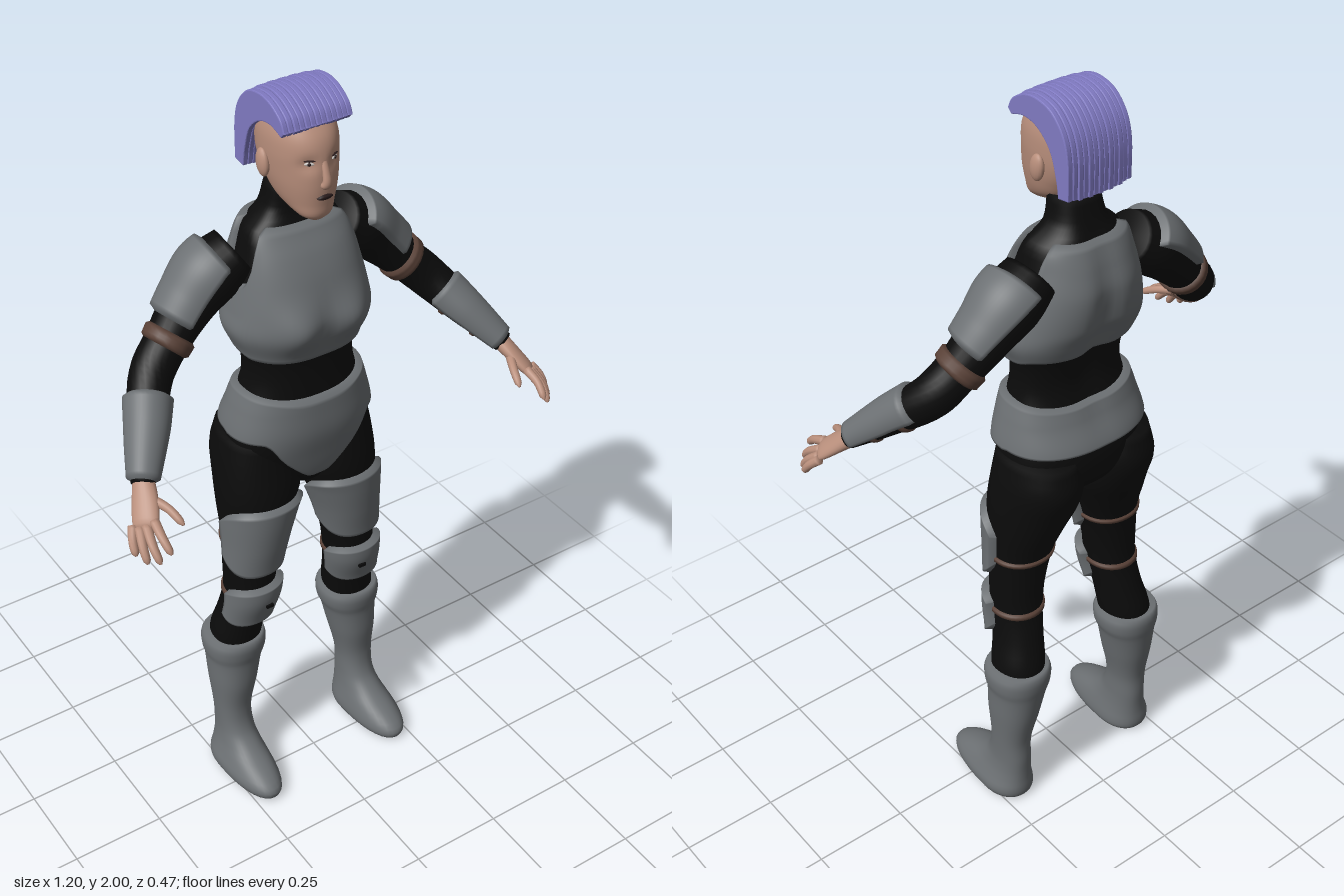
import * as THREE from 'three';

const mat = (name, color, open) => {
  const m = new THREE.MeshStandardMaterial({ color });
  m.name = name;
  if (open) m.side = THREE.DoubleSide;
  return m;
};
const smooth = THREE.MathUtils.smoothstep;
const V = (x, y, z) => new THREE.Vector3(x, y, z);

// Smooth lookup in a table of rows [key, a, b, ...]
function lookup(rows, k) {
  let i = 0;
  while (i < rows.length - 2 && k > rows[i + 1][0]) i++;
  const r0 = rows[i], r1 = rows[i + 1], h = r1[0] - r0[0];
  const t = THREE.MathUtils.clamp((k - r0[0]) / h, 0, 1);
  const slope = (n, c) => {
    const p = rows[Math.max(n - 1, 0)], q = rows[Math.min(n + 1, rows.length - 1)];
    return (q[c] - p[c]) / (q[0] - p[0]);
  };
  return r0.map((_, c) => c === 0 ? k :
    r0[c] * (2 * t ** 3 - 3 * t * t + 1) + r1[c] * (3 * t * t - 2 * t ** 3) +
    h * slope(i, c) * (t ** 3 - 2 * t * t + t) + h * slope(i + 1, c) * (t ** 3 - t * t));
}

// Surface from rings of points, optionally closed round and capped
function grid(nu, nv, fn, closed) {
  const pos = [], idx = [], w = closed ? nu : nu + 1;
  for (let j = 0; j <= nv; j++) for (let i = 0; i < w; i++) pos.push(...fn(i / nu, j / nv));
  for (let j = 0; j < nv; j++) for (let i = 0; i < nu; i++) {
    const a = j * w + i, b = j * w + (i + 1) % w;
    idx.push(a, b, b + w, a, b + w, a + w);
  }
  if (closed) for (const j of [0, nv]) {
    const c = pos.length / 3, mid = [0, 0, 0];
    for (let i = 0; i < w; i++) for (let k = 0; k < 3; k++) mid[k] += pos[(j * w + i) * 3 + k] / w;
    pos.push(...mid);
    for (let i = 0; i < nu; i++) {
      const a = j * w + i, b = j * w + (i + 1) % w;
      if (j) idx.push(a, b, c); else idx.push(b, a, c);
    }
  }
  const g = new THREE.BufferGeometry();
  g.setAttribute('position', new THREE.Float32BufferAttribute(pos, 3));
  g.setIndex(idx);
  g.computeVertexNormals();
  return g;
}

// Upright body skin; rows are [y, cx, cz, half width, front depth, back depth].
// Angle 0 faces front, a quarter turn faces +x; plates sink at their rims.
function shell(body, bot, top, off = 0, a0 = -Math.PI, a1 = Math.PI, nu = 40, nv = 26) {
  const closed = a1 - a0 > 6.28, val = (f, a) => typeof f === 'function' ? f(a) : f;
  return grid(nu, nv, (u, v) => {
    const a = a0 + (a1 - a0) * u, s = Math.sin(a), c = Math.cos(a);
    const y = THREE.MathUtils.lerp(val(bot, a), val(top, a), v);
    const [, cx, cz, rx, rf, rb] = lookup(body.rows, y);
    const rim = v === 0 || v === 1 || (!closed && (u === 0 || u === 1));
    const o = off && rim ? -0.003 : off, e = 2 / body.p;
    const x = cx + (rx + o) * Math.sign(s) * Math.abs(s) ** e;
    let z = cz + ((c > 0 ? rf : rb) + o) * Math.sign(c) * Math.abs(c) ** e;
    if (body.relief) z += body.relief(x, y, c);
    return [x, y, z];
  }, closed);
}

// Limb along a curve; radii rows are [t, radius along ref, radius across]
function limb(pts, radii, { t0 = 0, t1 = 1, off = 0, half = Math.PI, ref = V(0, 1, 0), nu = 24, nv = 24 } = {}) {
  const curve = new THREE.CatmullRomCurve3(pts), closed = half > 3.14;
  return grid(nu, nv, (u, v) => {
    const t = t0 + (t1 - t0) * v, T = curve.getTangent(t), a = half * (2 * u - 1);
    const N = ref.clone().addScaledVector(T, -T.dot(ref)).normalize(), B = T.clone().cross(N);
    const [, r, q] = lookup(radii, t);
    const o = off && (v === 0 || v === 1 || (!closed && (u === 0 || u === 1))) ? -0.003 : off;
    return curve.getPoint(t).addScaledVector(N, Math.cos(a) * (r + o)).addScaledVector(B, Math.sin(a) * (q + o)).toArray();
  }, closed);
}

export function createModel() {
  const skin = mat('skin', 0xb98f7c), suit = mat('black suit', 0x0b0b0b), armor = mat('grey armor', 0x6c7073, true);
  const strap = mat('brown strap', 0x5a4238, true), hairMat = mat('violet hair', 0x807ac2);
  const white = mat('eye white', 0xc8c4c0, true), dark = mat('dark makeup', 0x2a1c1c, true);
  const model = new THREE.Group();
  const add = (name, geo, m) => {
    const mesh = new THREE.Mesh(geo, m);
    mesh.name = name;
    model.add(mesh);
  };
  // Adds a part on the left and its mirror image on the right
  const pair = (name, geo, m) => {
    add(name + 'Left', geo, m);
    const g = geo.clone().scale(-1, 1, 1), ix = g.index.array;
    for (let i = 0; i < ix.length; i += 3) [ix[i], ix[i + 1]] = [ix[i + 1], ix[i]];
    g.computeVertexNormals();
    add(name + 'Right', g, m);
  };

  // Torso
  const bell = (d, w) => Math.exp(-((d / w) ** 2));
  const torso = { p: 2.35, rows: [
    [0.95, 0, -0.08, 0.06, 0.075, 0.05], [1.0, 0, -0.08, 0.13, 0.092, 0.11], [1.06, 0, -0.08, 0.185, 0.104, 0.135],
    [1.13, 0, -0.08, 0.182, 0.115, 0.132], [1.2, 0, -0.08, 0.165, 0.113, 0.1], [1.28, 0, -0.08, 0.143, 0.108, 0.075],
    [1.35, 0, -0.08, 0.147, 0.11, 0.085], [1.42, 0, -0.08, 0.173, 0.125, 0.112], [1.47, 0, -0.08, 0.165, 0.126, 0.132],
    [1.55, 0, -0.08, 0.147, 0.106, 0.14], [1.61, 0, -0.08, 0.132, 0.078, 0.125], [1.66, 0, -0.085, 0.115, 0.048, 0.1],
    [1.69, 0, -0.095, 0.077, 0.045, 0.075], [1.76, 0, -0.095, 0.058, 0.048, 0.055]],
    relief: (x, y, c) => c > 0 ? 0.028 * bell(Math.abs(x) - 0.08, 0.06) * bell(y - 1.445, 0.06) * c
      : 0.018 * bell(x, 0.035) * bell(y - 1.45, 0.2) };
  add('bodysuitTorso', shell(torso, 0.95, 1.76, 0, undefined, undefined, 48, 50), suit);
  add('chestArmor', shell(torso, a => 1.342 + 0.03 * smooth(-Math.cos(a), -0.5, 0.7),
    a => 1.672 - 0.13 * smooth(Math.abs(Math.sin(a)), 0.86, 1), 0.013, undefined, undefined, 72, 36), armor);
  add('hipArmor', shell(torso, a => Math.cos(a) > 0 ? 0.975 + 0.145 * smooth(Math.abs(Math.sin(a)), 0.12, 0.75) : 1.125,
    a => 1.235 + 0.012 * Math.sin(a) ** 2, 0.016, undefined, undefined, 72, 24), armor);

  // Legs
  const leg = { p: 2.1, rows: [
    [0.4, 0.184, -0.105, 0.06, 0.06, 0.075], [0.46, 0.178, -0.1, 0.066, 0.06, 0.082], [0.54, 0.165, -0.085, 0.062, 0.057, 0.076],
    [0.62, 0.155, -0.07, 0.065, 0.065, 0.072], [0.7, 0.15, -0.07, 0.07, 0.067, 0.071], [0.8, 0.138, -0.075, 0.08, 0.085, 0.077],
    [0.88, 0.126, -0.08, 0.094, 0.098, 0.1], [0.95, 0.113, -0.08, 0.107, 0.1, 0.128], [1.03, 0.112, -0.09, 0.1, 0.1, 0.145],
    [1.1, 0.112, -0.09, 0.085, 0.09, 0.128]] };
  pair('leg', shell(leg, 0.4, 1.1, 0, undefined, undefined, 36, 40), suit);
  pair('thighArmor', shell(leg, a => 0.705 + 0.07 * (a / 1.6) ** 4, a => 0.925 - 0.06 * (a / 1.6) ** 4, 0.016, -1.6, 1.6), armor);
  pair('kneeArmor', shell(leg, a => 0.535 + 0.04 * (a / 1.5) ** 4, a => 0.663 - 0.02 * (a / 1.5) ** 4, 0.02, -1.5, 1.5), armor);
  pair('thighStrap', shell(leg, 0.782, 0.802, 0.005, undefined, undefined, 36, 4), strap);
  pair('kneeStrap', shell(leg, 0.61, 0.632, 0.005, undefined, undefined, 36, 4), strap);
  pair('kneeStud', new THREE.BoxGeometry(0.02, 0.009, 0.008).translate(0.145, 0.607, 0.014), suit);

  // Boots
  const boot = { p: 2.2, rows: [
    [0, 0.203, -0.07, 0.055, 0.172, 0.08], [0.012, 0.204, -0.07, 0.066, 0.188, 0.09], [0.035, 0.205, -0.07, 0.067, 0.187, 0.092],
    [0.06, 0.203, -0.07, 0.06, 0.15, 0.09], [0.09, 0.201, -0.08, 0.052, 0.095, 0.079], [0.13, 0.2, -0.092, 0.047, 0.062, 0.068],
    [0.2, 0.2, -0.1, 0.048, 0.053, 0.06], [0.3, 0.193, -0.105, 0.062, 0.068, 0.074], [0.38, 0.186, -0.11, 0.073, 0.076, 0.081],
    [0.405, 0.184, -0.11, 0.081, 0.081, 0.086], [0.44, 0.183, -0.11, 0.083, 0.083, 0.087], [0.455, 0.183, -0.11, 0.076, 0.076, 0.08]] };
  pair('boot', shell(boot, 0, 0.455, 0, undefined, undefined, 36, 48), armor);

  // Arms
  const armPath = [V(0.14, 1.6, -0.12), V(0.2, 1.56, -0.125), V(0.26, 1.505, -0.122), V(0.33, 1.432, -0.108),
    V(0.39, 1.37, -0.085), V(0.455, 1.29, 0), V(0.515, 1.215, 0.08)];
  const armRadii = [[0, 0.06, 0.07], [0.17, 0.074, 0.078], [0.33, 0.064, 0.066], [0.5, 0.053, 0.055],
    [0.67, 0.052, 0.052], [0.83, 0.042, 0.044], [1, 0.026, 0.028]];
  const arm = opts => limb(armPath, armRadii, opts);
  pair('arm', arm({ nv: 36 }), suit);
  pair('shoulderArmor', arm({ t0: 0.08, t1: 0.43, off: 0.016, half: 1.35 }), armor);
  pair('upperArmBand', arm({ t0: 0.465, t1: 0.54, off: 0.008, nv: 5 }), strap);
  pair('forearmArmor', arm({ t0: 0.73, t1: 0.995, off: 0.01, half: 2.0 }), armor);
  for (const t of [0.77, 0.89]) pair('forearmStrap', arm({ t0: t, t1: t + 0.025, off: 0.004, nv: 4 }), strap);

  // Hands
  pair('palm', limb([V(0.508, 1.223, 0.07), V(0.528, 1.19, 0.11), V(0.552, 1.152, 0.152)],
    [[0, 0.025, 0.022], [0.5, 0.032, 0.018], [0.9, 0.032, 0.014], [1, 0.027, 0.008]], { ref: V(0.04, -0.015, -0.035), nv: 12 }), skin);
  const fingers = [
    ['indexFinger', V(0.533, 1.168, 0.158), V(0.537, 1.15, 0.2), V(0.533, 1.122, 0.233)],
    ['middleFinger', V(0.549, 1.157, 0.15), V(0.558, 1.13, 0.192), V(0.556, 1.097, 0.222)],
    ['ringFinger', V(0.562, 1.15, 0.14), V(0.574, 1.122, 0.175), V(0.576, 1.09, 0.198)],
    ['littleFinger', V(0.572, 1.15, 0.126), V(0.586, 1.127, 0.15), V(0.59, 1.1, 0.17)],
    ['thumb', V(0.518, 1.195, 0.105), V(0.493, 1.183, 0.155), V(0.48, 1.16, 0.198)]];
  for (const [name, ...pts] of fingers)
    pair(name, limb(pts, [[0, 0.012, 0.012], [0.5, 0.0105, 0.0105], [0.9, 0.0085, 0.0085], [1, 0.003, 0.003]], { nu: 10, nv: 10 }), skin);

  // Head and face
  const head = { p: 2.15, rows: [
    [1.705, 0, 0.005, 0.018, 0.018, 0.03], [1.72, 0, 0, 0.04, 0.038, 0.05], [1.75, 0, -0.04, 0.06, 0.083, 0.07],
    [1.79, 0, -0.06, 0.073, 0.108, 0.085], [1.83, 0, -0.07, 0.08, 0.118, 0.1], [1.87, 0, -0.07, 0.083, 0.116, 0.108],
    [1.91, 0, -0.07, 0.081, 0.104, 0.108], [1.945, 0, -0.07, 0.07, 0.075, 0.09], [1.975, 0, -0.07, 0.045, 0.04, 0.05]],
    relief: (x, y, c) => c > 0 ? -0.009 * bell(Math.abs(x) - 0.035, 0.02) * bell(y - 1.855, 0.018) : 0 };
  add('head', shell(head, 1.705, 1.975, 0, undefined, undefined, 48, 40), skin);
  add('nose', limb([V(0, 1.868, 0.038), V(0, 1.835, 0.05), V(0, 1.81, 0.054), V(0, 1.797, 0.044)],
    [[0, 0.005, 0.007], [0.6, 0.009, 0.011], [0.85, 0.01, 0.014], [1, 0.004, 0.008]], { ref: V(0, 0, 1), nu: 14, nv: 14 }), skin);
  // Small almond-shaped plates on the face
  const almond = (y, h, a0, a1, off) => {
    const k = a => h * Math.max(0, Math.sin(Math.PI * (a - a0) / (a1 - a0)));
    return shell(head, a => y - k(a), a => y + k(a), off, a0, a1, 10, 4);
  };
  pair('eye', almond(1.856, 0.007, 0.24, 0.52, 0.003), white);
  pair('iris', almond(1.856, 0.007, 0.33, 0.43, 0.005), dark);
  pair('eyeLiner', almond(1.864, 0.0025, 0.22, 0.54, 0.004), dark);
  add('lips', almond(1.772, 0.009, -0.3, 0.3, 0.005), dark);
  pair('ear', new THREE.SphereGeometry(1, 16, 12).scale(0.013, 0.034, 0.021).rotateX(-0.15).translate(0.085, 1.83, -0.075), skin);

  // Swept hair made of side-by-side strands
  const outer = [[0.022, 1.94], [0.006, 1.967], [-0.035, 1.991], [-0.08, 1.997], [-0.13, 1.983], [-0.17, 1.94], [-0.187, 1.88], [-0.188, 1.79]];
  const inner = [[-0.158, 1.785], [-0.15, 1.83], [-0.128, 1.89], [-0.085, 1.93], [-0.035, 1.942], [0.012, 1.93]];
  const strands = 13, step = 0.18 / strands;
  for (let i = 0; i < strands; i++) {
    const x = (i - (strands - 1) / 2) * step, k = 1 - 0.06 * Math.abs(x / 0.09) ** 3 - (i % 2) * 0.012;
    const pt = ([z, y]) => new THREE.Vector2(-0.08 + (z + 0.08) * k, 1.9 + (y - 1.9) * k);
    const shape = new THREE.Shape();
    const o = outer.map(pt);
    shape.moveTo(o[0].x, o[0].y);
    shape.splineThru(o.slice(1));
    shape.lineTo(...pt(inner[0]).toArray());
    shape.splineThru(inner.slice(1).map(pt));
    const g = new THREE.ExtrudeGeometry(shape, { depth: step - 0.005, bevelThickness: 0.0025, bevelSize: 0.003, bevelSegments: 2, curveSegments: 24 });
    add('hairStrand', g.translate(0, 0, -(step - 0.005) / 2).rotateY(-Math.PI / 2).translate(x, 0, 0), hairMat);
  }
  return model;
}
